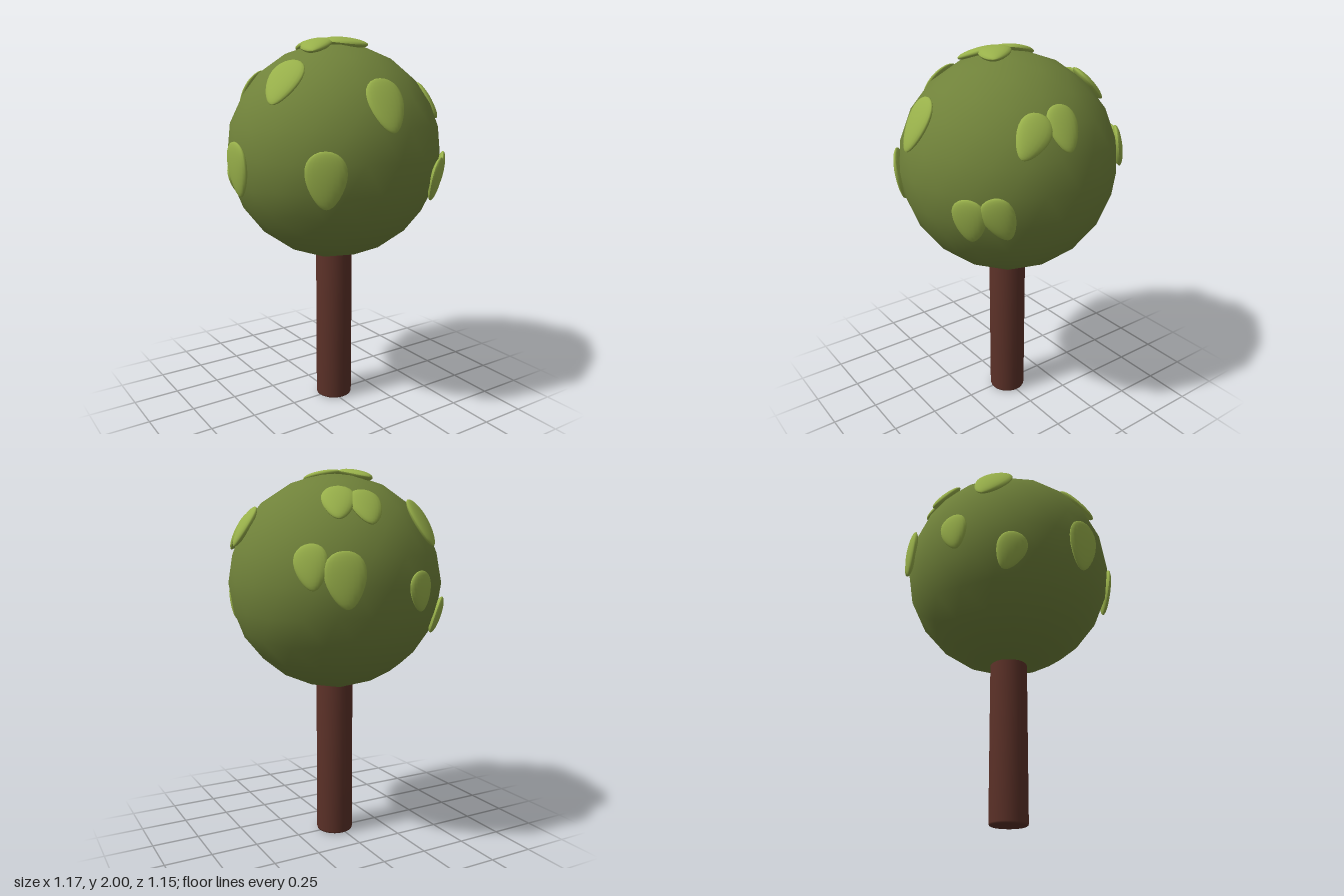
import * as THREE from 'three';

const CENTER = new THREE.Vector3(0.02, 1.405, -0.005);
const RADIUS = 0.57;

const trunkMat = new THREE.MeshStandardMaterial({ color: 0x5a3027 });
const crownMat = new THREE.MeshStandardMaterial({ color: 0x70823a });
const leafMat = new THREE.MeshStandardMaterial({ color: 0x98b04a });

// Flat egg of unit length: round at the top, narrowing to a tip at -y
function makeLeafGeometry() {
  const geo = new THREE.SphereGeometry(0.5, 20, 14);
  const p = geo.attributes.position;
  for (let i = 0; i < p.count; i++) {
    const y = p.getY(i);
    p.setX(i, p.getX(i) * (1 + 0.6 * y));
  }
  geo.scale(0.96, 1, 1);
  geo.computeVertexNormals();
  return geo;
}

// Centre x, y, z; length, width; roll in degrees (tip swings to its right)
const LEAVES = [
  // front
  [-0.02, 1.67, 0.50, 0.28, 0.20, 0],
  [-0.325, 1.335, 0.45, 0.28, 0.20, 0],
  [0.35, 1.285, 0.46, 0.23, 0.17, 0],
  [0.455, 1.305, 0.36, 0.23, 0.16, 22],
  // left side
  [0.505, 1.69, 0.045, 0.23, 0.16, 0],
  [0.48, 1.67, 0.20, 0.23, 0.16, -30],
  // back
  [0.385, 1.50, -0.45, 0.22, 0.165, 8],
  [0.25, 1.44, -0.54, 0.27, 0.20, 5],
  [0.08, 1.775, -0.43, 0.22, 0.165, 0],
  [0.20, 1.795, -0.375, 0.22, 0.165, 0],
  [-0.265, 1.71, -0.39, 0.28, 0.20, -15],
  [-0.16, 1.38, -0.55, 0.20, 0.155, 8],
  [-0.39, 1.24, -0.37, 0.20, 0.155, -20],
  // right side
  [-0.57, 1.35, -0.005, 0.28, 0.20, 0],
  [-0.38, 1.775, 0.165, 0.27, 0.20, 0],
  // crown top
  [-0.06, 1.97, -0.11, 0.23, 0.165, -36],
  [-0.135, 1.955, 0.065, 0.225, 0.165, 25],
  [0.035, 1.97, 0.085, 0.23, 0.165, 45],
];

export function createModel() {
  const tree = new THREE.Group();
  tree.name = 'tree';

  // Trunk with a small bevel at the foot
  const profile = [[0, 0], [0.09, 0], [0.097, 0.004], [0.1, 0.012], [0.1, 0.9], [0, 0.9]];
  const trunk = new THREE.Mesh(
    new THREE.LatheGeometry(profile.map(([x, y]) => new THREE.Vector2(x, y)), 28),
    trunkMat
  );
  trunk.name = 'trunk';
  trunk.position.set(0.02, 0, 0);
  tree.add(trunk);

  // Round crown, a smooth-shaded icosphere with a vertex at the top
  const crown = new THREE.Mesh(
    new THREE.IcosahedronGeometry(RADIUS, 3).rotateZ(Math.atan(2 / (1 + Math.sqrt(5)))),
    crownMat
  );
  crown.name = 'crown';
  crown.position.copy(CENTER);
  tree.add(crown);

  // Leaves lying on the crown, tips pointing down its slope
  const leaves = new THREE.Group();
  leaves.name = 'leaves';
  const leafGeo = makeLeafGeometry();
  for (const [x, y, z, length, width, roll] of LEAVES) {
    const dir = new THREE.Vector3(x, y, z).sub(CENTER).normalize();
    const leaf = new THREE.Mesh(leafGeo, leafMat);
    leaf.name = 'leaf';
    leaf.position.copy(CENTER).addScaledVector(dir, RADIUS + 0.003);
    leaf.lookAt(CENTER.clone().addScaledVector(dir, 3));
    leaf.rotateZ(THREE.MathUtils.degToRad(roll));
    leaf.scale.set(width, length, 0.05);
    leaves.add(leaf);
  }
  tree.add(leaves);

  return tree;
}
